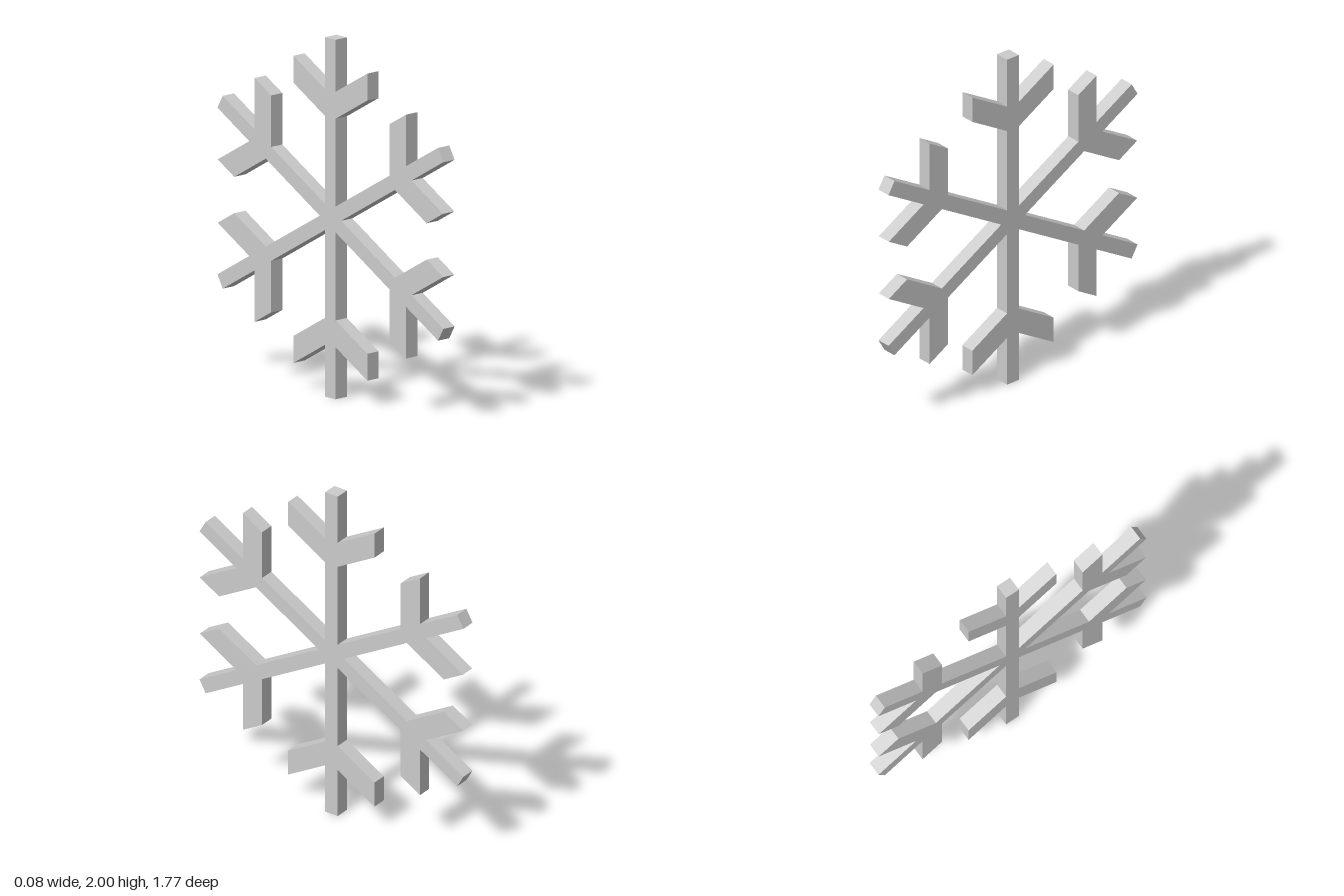
import * as THREE from 'three';

const W = 0.042;        // half width of an arm, also half the plate thickness
const REACH = 0.29;     // sideways reach of the branches
const SLOPE = Math.tan(Math.PI / 6);

// Half outline of one arm, from hub to tip: [distance along arm, distance to the side]
const lower = (t) => 0.537 + SLOPE * t;
const upper = (t) => lower(t) + 0.15;
const halfArm = [
  [W / SLOPE, W],
  [lower(W), W],
  [lower(REACH), REACH],
  [upper(REACH), REACH],
  [upper(W), W],
  [1, W],
];

// One closed outline of six mirrored arms
function snowflakeShape() {
  const points = [];
  for (let i = 0; i < 6; i++) {
    const angle = Math.PI / 2 + (i * Math.PI) / 3;
    const add = (s, t) =>
      points.push(new THREE.Vector2(s, t).rotateAround(new THREE.Vector2(), angle));
    halfArm.forEach(([s, t]) => add(s, -t));
    // the inner notch is shared with the next arm
    halfArm.slice(1).reverse().forEach(([s, t]) => add(s, t));
  }
  return new THREE.Shape(points);
}

export function createModel() {
  const group = new THREE.Group();
  group.name = 'snowflake';

  // Flat plate standing upright in the y-z plane
  const geometry = new THREE.ExtrudeGeometry(snowflakeShape(), { depth: 2 * W, bevelEnabled: false });
  geometry.translate(0, 0, -W);
  geometry.rotateY(Math.PI / 2);
  geometry.translate(0, 1, 0);

  const plate = new THREE.Mesh(
    geometry,
    new THREE.MeshStandardMaterial({ color: 0xcccccc, flatShading: true })
  );
  plate.name = 'snowflakePlate';
  group.add(plate);
  return group;
}
